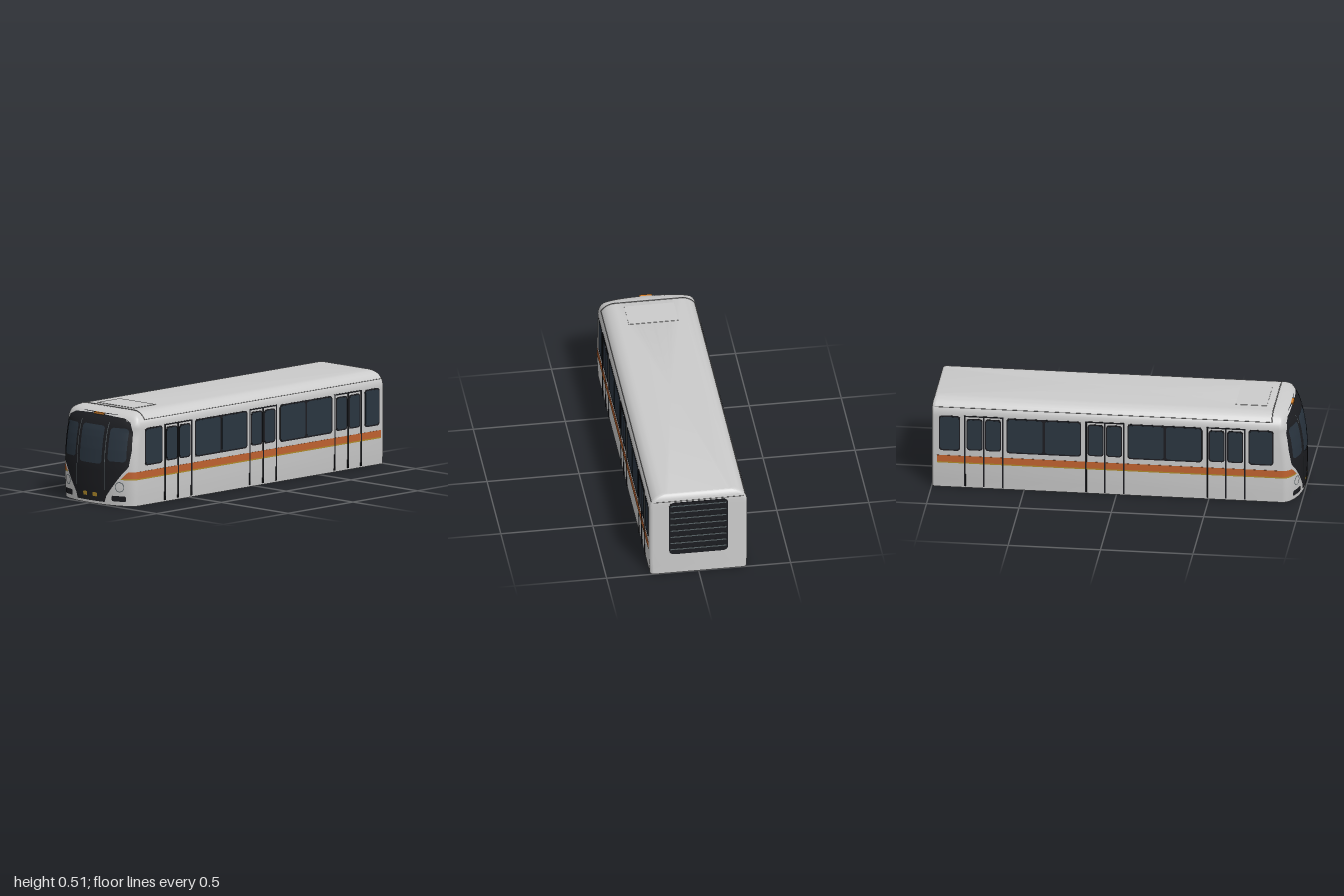
import * as THREE from 'three';
import { toCreasedNormals } from 'three/addons/utils/BufferGeometryUtils.js';

const mat = (color) => new THREE.MeshStandardMaterial({ color });
const GREY = mat(0xcccccc), BLACK = mat(0x1c1d21), GLASS = mat(0x2a3540), ORANGE = mat(0xc0622f);
const YELLOW = mat(0xb08a2a), SLAT = mat(0x5a6468), RIM = mat(0x555555), SEAM = mat(0x777777), SIGN = mat(0xd9822b);

// Linear lookup in a table of [key, value...] rows
function interp(table, y, col = 1) {
  let i = 0;
  while (i < table.length - 2 && y > table[i + 1][0]) i++;
  const [a, b] = [table[i], table[i + 1]];
  const t = Math.min(1, Math.max(0, (y - a[0]) / (b[0] - a[0])));
  return a[col] + (b[col] - a[col]) * t;
}

// Body rules by height: half width, nose tip, nose depth, rear end
const TOP = 0.506;
const NOSE = [[0, -0.995], [0.1, -0.998], [0.2, -0.998], [0.3, -0.99], [0.36, -0.981], [0.4, -0.972],
  [0.43, -0.961], [0.455, -0.946], [0.48, -0.925], [0.495, -0.9], [TOP, -0.86]];
const DEPTH = [[0, 0.1], [0.4, 0.1], [0.45, 0.07], [0.48, 0.045], [TOP, 0.03]];
const REAR = [[0, 1], [0.46, 1], [0.485, 0.997], [0.5, 0.99], [TOP, 0.982]];
const LOW = [[0, 0.262], [0.05, 0.265], [0.1, 0.267], [0.42, 0.267]];
const halfWidth = (y) => y < 0.42 ? interp(LOW, y)
  : 0.18 + 0.087 * Math.sqrt(Math.max(0, 1 - ((y - 0.42) / 0.086) ** 2));

// Plan outline of the body at height y
function ring(y, inset = 0) {
  const w = halfWidth(y) - inset, r = 0.02, xr = interp(REAR, y) - inset;
  const d = interp(DEPTH, y), xc = interp(NOSE, y) + inset + d, pts = [];
  const corner = (a0, s) => {
    for (let i = 0; i <= 5; i++) {
      const a = a0 + (i / 5) * Math.PI / 2;
      pts.push([xr - r + r * Math.cos(a), s * (w - r) + r * Math.sin(a)]);
    }
  };
  corner(0, 1);
  for (let i = 0; i <= 32; i++) {
    const t = Math.PI / 2 - (i / 32) * Math.PI;
    pts.push([xc - d * Math.cos(t), w * Math.sin(t)]);
  }
  corner(-Math.PI / 2, -1);
  return pts;
}

// Skin stacked rings; each layer is { pts, y }
function loft(layers, capped, flip) {
  const pos = [], idx = [], n = layers[0].pts.length;
  for (const { pts, y } of layers) for (const [x, z] of pts) pos.push(x, y, z);
  const tri = (a, b, c) => flip ? idx.push(a, c, b) : idx.push(a, b, c);
  for (let j = 0; j < layers.length - 1; j++) for (let i = 0; i < n; i++) {
    const a = j * n + i, b = j * n + (i + 1) % n;
    tri(a, a + n, b);
    tri(a + n, b + n, b);
  }
  if (capped) {
    const base = (layers.length - 1) * n;
    pos.push(0, layers.at(-1).y, 0);
    for (let i = 0; i < n; i++) tri(base + n, base + (i + 1) % n, base + i);
  }
  return finish(pos, idx);
}

function finish(pos, idx) {
  const g = new THREE.BufferGeometry();
  g.setAttribute('position', new THREE.Float32BufferAttribute(pos, 3));
  g.setIndex(idx);
  return toCreasedNormals(g, 0.6);
}

// Panel lying on the curved nose; rows are [y, zMin, zMax]
function nosePatch(rows, off) {
  const pos = [], idx = [], nu = 16, nv = 28, y0 = rows[0][0], y1 = rows.at(-1)[0];
  for (let j = 0; j <= nv; j++) {
    const y = y0 + (y1 - y0) * j / nv, w = halfWidth(y), d = interp(DEPTH, y), xc = interp(NOSE, y) + d;
    const [a, b] = [1, 2].map((c) => Math.asin(Math.max(-1, Math.min(1, interp(rows, y, c) / w))));
    for (let i = 0; i <= nu; i++) {
      const t = a + (b - a) * i / nu;
      pos.push(xc - (d + off) * Math.cos(t), y, (w + off) * Math.sin(t));
      if (i < nu && j < nv) {
        const k = j * (nu + 1) + i, u = k + nu + 1;
        idx.push(k, k + 1, u, k + 1, u + 1, u);
      }
    }
  }
  return finish(pos, idx);
}
const roundRows = (y0, y1, z0, z1, r) => [[y0, z0 + r, z1 - r], [y0 + 0.3 * r, z0 + 0.3 * r, z1 - 0.3 * r],
  [y0 + r, z0, z1], [y1 - r, z0, z1], [y1 - 0.3 * r, z0 + 0.3 * r, z1 - 0.3 * r], [y1, z0 + r, z1 - r]];
const mirrorRows = (rows, s) => s > 0 ? rows : rows.map(([y, a, b]) => [y, -b, -a]);

// Thin rounded plate, centred, facing +z
function plate(w, h, r, depth = 0.002) {
  const s = new THREE.Shape(), x = w / 2, y = h / 2;
  s.absarc(x - r, y - r, r, 0, Math.PI / 2);
  s.absarc(r - x, y - r, r, Math.PI / 2, Math.PI);
  s.absarc(r - x, r - y, r, Math.PI, Math.PI * 1.5);
  s.absarc(x - r, r - y, r, Math.PI * 1.5, Math.PI * 2);
  return new THREE.ExtrudeGeometry(s, { depth, bevelEnabled: false, curveSegments: 5 });
}

export function createModel() {
  const model = new THREE.Group();
  const add = (name, geo, material, x = 0, y = 0, z = 0, ry = 0) => {
    const m = new THREE.Mesh(geo, material);
    m.name = name;
    m.position.set(x, y, z);
    m.rotation.y = ry;
    model.add(m);
    return m;
  };
  const box = (name, material, w, h, d, x, y, z) => add(name, new THREE.BoxGeometry(w, h, d), material, x, y, z);

  // Hollow body shell, open underneath
  const heights = [0, 0.05, 0.1, 0.2, 0.25, 0.3, 0.36, 0.4, 0.42];
  for (let i = 1; i <= 10; i++) heights.push(0.42 + 0.086 * Math.sin(i / 10 * Math.PI / 2));
  add('bodyShell', loft(heights.map((y) => ({ pts: ring(y), y })), true, false), GREY);
  add('bodyInterior', loft(heights.map((y) => ({ pts: ring(y, 0.012), y: y * 0.976 })), true, true), GREY);
  add('bottomRim', loft([{ pts: ring(0, 0.012), y: 0 }, { pts: ring(0), y: 0 }], false, false), RIM);

  // Roof seams and hatch
  const arch = [];
  for (let i = 0; i <= 20; i++) {
    const a = Math.PI / 6 + (i / 20) * Math.PI / 3;
    arch.push(new THREE.Vector3(-0.84, 0.42 + 0.086 * Math.sin(a), 0.18 + 0.087 * Math.cos(a)));
  }
  const archPath = new THREE.CatmullRomCurve3([...arch, ...arch.map((p) => new THREE.Vector3(p.x, p.y, -p.z)).reverse()]);
  add('roofCrossSeam', new THREE.TubeGeometry(archPath, 80, 0.0025, 6), SEAM);
  box('rearRoofSeam', SEAM, 0.003, 0.003, 0.49, 0.9995, 0.463, 0);
  box('roofHatch', GREY, 0.17, 0.006, 0.27, -0.715, 0.505, 0);

  for (const s of [1, -1]) {
    const ry = s > 0 ? 0 : Math.PI;
    const pane = (name, x0, x1, y0, y1, r, material, lift) =>
      add(name, plate(x1 - x0, y1 - y0, r), material, (x0 + x1) / 2, (y0 + y1) / 2, s * (0.2662 + lift), ry);
    box('roofSideSeam', SEAM, 1.825, 0.003, 0.003, 0.0725, 0.463, s * 0.2553);

    // Side windows with dark frames
    for (const [x0, x1, panes] of [[-0.85, -0.715, 1], [-0.465, -0.06, 2], [0.19, 0.595, 2], [0.845, 0.96, 1]]) {
      pane('windowFrame', x0, x1, 0.215, 0.42, 0.018, BLACK, 0);
      const w = (x1 - x0) / panes;
      for (let i = 0; i < panes; i++)
        pane('windowGlass', x0 + i * w + 0.007, x0 + (i + 1) * w - 0.007, 0.223, 0.412, 0.014, GLASS, 0.001);
    }

    // Stripes along the side and round the nose corner
    box('orangeStripe', ORANGE, 1.87, 0.037, 0.003, 0.035, 0.1685, s * 0.2668);
    box('yellowStripe', YELLOW, 1.87, 0.007, 0.003, 0.035, 0.1465, s * 0.2668);
    add('orangeStripeEnd', nosePatch(mirrorRows([[0.15, 0.2, 0.267], [0.187, 0.235, 0.267]], s), 0.0014), ORANGE);
    add('yellowStripeEnd', nosePatch(mirrorRows([[0.143, 0.194, 0.267], [0.15, 0.2, 0.267]], s), 0.0014), YELLOW);

    // Double doors: edge lines, header and windows
    for (const c of [-0.593, 0.062, 0.717]) {
      for (const dx of [-0.102, 0, 0.102])
        box('doorLine', BLACK, 0.008, 0.41, 0.009, c + dx, 0.215, s * 0.2648);
      box('doorHeader', BLACK, 0.212, 0.007, 0.006, c, 0.42, s * 0.2662);
      for (const k of [-1, 1]) {
        const x = c + k * 0.05;
        pane('doorWindowFrame', x - 0.043, x + 0.043, 0.222, 0.407, 0.016, BLACK, 0);
        pane('doorWindowGlass', x - 0.037, x + 0.037, 0.229, 0.4, 0.013, GLASS, 0.001);
      }
    }

    // Cab windscreen, headlight, marker light and coupler mark
    add('windscreen', nosePatch(mirrorRows(roundRows(0.24, 0.42, 0.118, 0.222, 0.015), s), 0.004), GLASS);
    add('cabDoorLine', nosePatch(mirrorRows([[0.08, 0.098, 0.102], [0.445, 0.098, 0.102]], s), 0.0045), SLAT);
    add('headlightRing', nosePatch(mirrorRows(roundRows(0.075, 0.131, 0.165, 0.215, 0.022), s), 0.002), SLAT);
    add('headlight', nosePatch(mirrorRows(roundRows(0.079, 0.127, 0.169, 0.211, 0.019), s), 0.003), GREY);
    add('markerLight', nosePatch(mirrorRows(roundRows(0.024, 0.054, 0.145, 0.222, 0.006), s), 0.003), BLACK);
    add('lowerLamp', nosePatch(mirrorRows(roundRows(0.04, 0.062, 0.02, 0.05, 0.004), s), 0.004), YELLOW);
  }

  // Dark cab mask, middle door window and destination sign
  const mask = [[0.015, 0.1], [0.05, 0.112], [0.17, 0.2], [0.21, 0.235], [0.3, 0.245], [0.4, 0.241],
    [0.45, 0.225], [0.475, 0.175], [0.485, 0.12]].map(([y, z]) => [y, -z, z]);
  add('cabMask', nosePatch(mask, 0.002), BLACK);
  add('cabDoorWindow', nosePatch(roundRows(0.22, 0.425, -0.08, 0.08, 0.015), 0.004), GLASS);
  box('destinationSign', SIGN, 0.016, 0.012, 0.07, -0.922, 0.479, 0);

  // Rear louvre panel
  add('louvrePanel', plate(0.32, 0.335, 0.027, 0.003), BLACK, 0.9985, 0.2875, 0, Math.PI / 2);
  for (let i = 0; i < 8; i++) box('louvreSlat', SLAT, 0.004, 0.007, 0.305, 1.001, 0.152 + i * 0.04, 0);
  return model;
}
